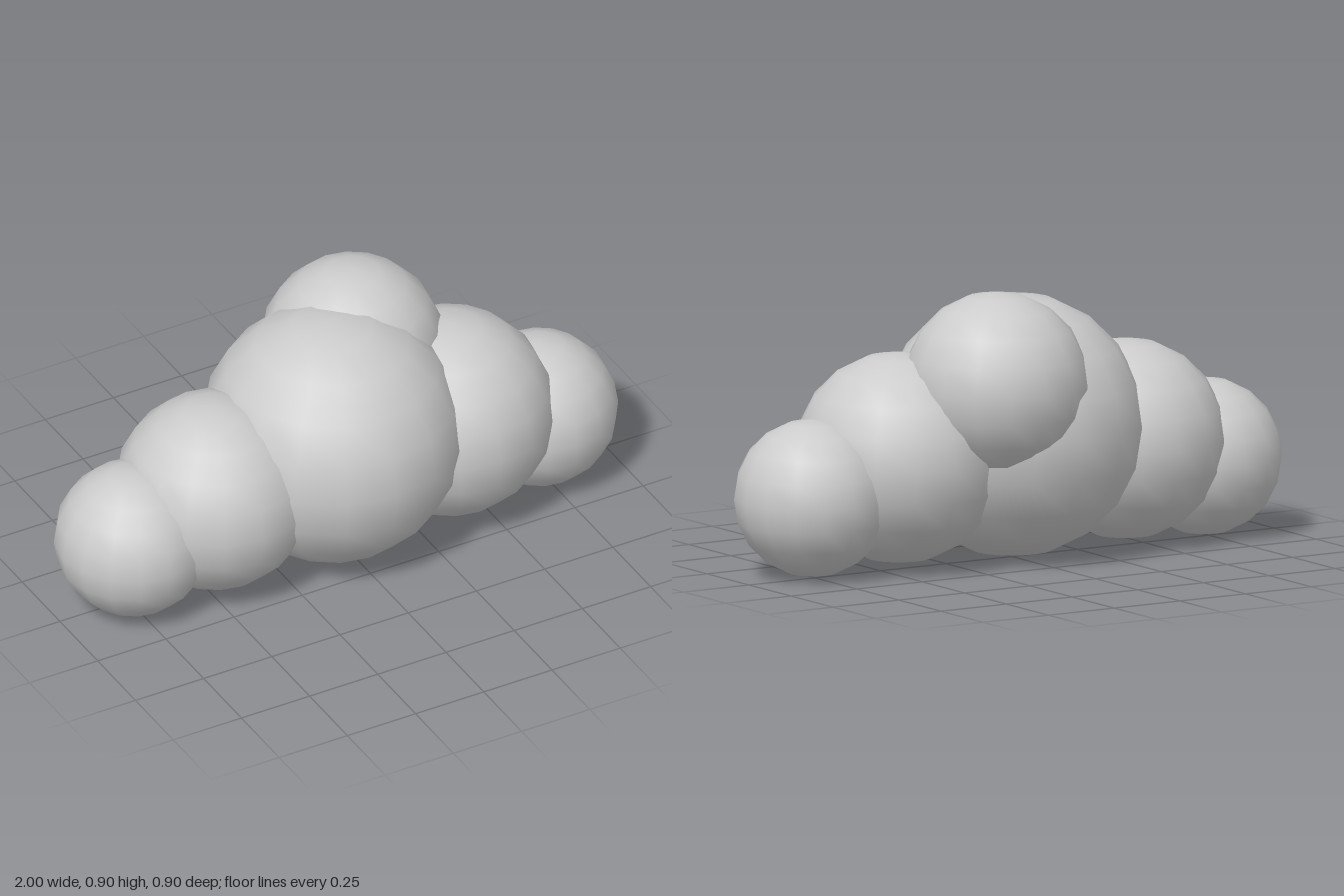
import * as THREE from 'three';

// Cloud made of overlapping puffs: [name, radius, x, y, z]
const PUFFS = [
  ['centrePuff', 0.427, -0.015, 0.43, 0.022],
  ['rightMiddlePuff', 0.325, -0.445, 0.345, 0.02],
  ['leftMiddlePuff', 0.342, 0.415, 0.362, 0.022],
  ['rightEndPuff', 0.255, -0.745, 0.26, 0.022],
  ['leftEndPuff', 0.255, 0.745, 0.26, 0.022],
  ['backPuff', 0.3, 0.155, 0.6, -0.15],
];

export function createModel() {
  const cloud = new THREE.Group();
  cloud.name = 'cloud';
  const material = new THREE.MeshStandardMaterial({ color: 0xcccccc });
  // One smooth-shaded, low-segment ball shared by every puff
  const ball = new THREE.SphereGeometry(1, 16, 10);

  for (const [name, radius, x, y, z] of PUFFS) {
    const puff = new THREE.Mesh(ball, material);
    puff.name = name;
    puff.scale.setScalar(radius);
    puff.position.set(x, y, z);
    cloud.add(puff);
  }
  return cloud;
}
